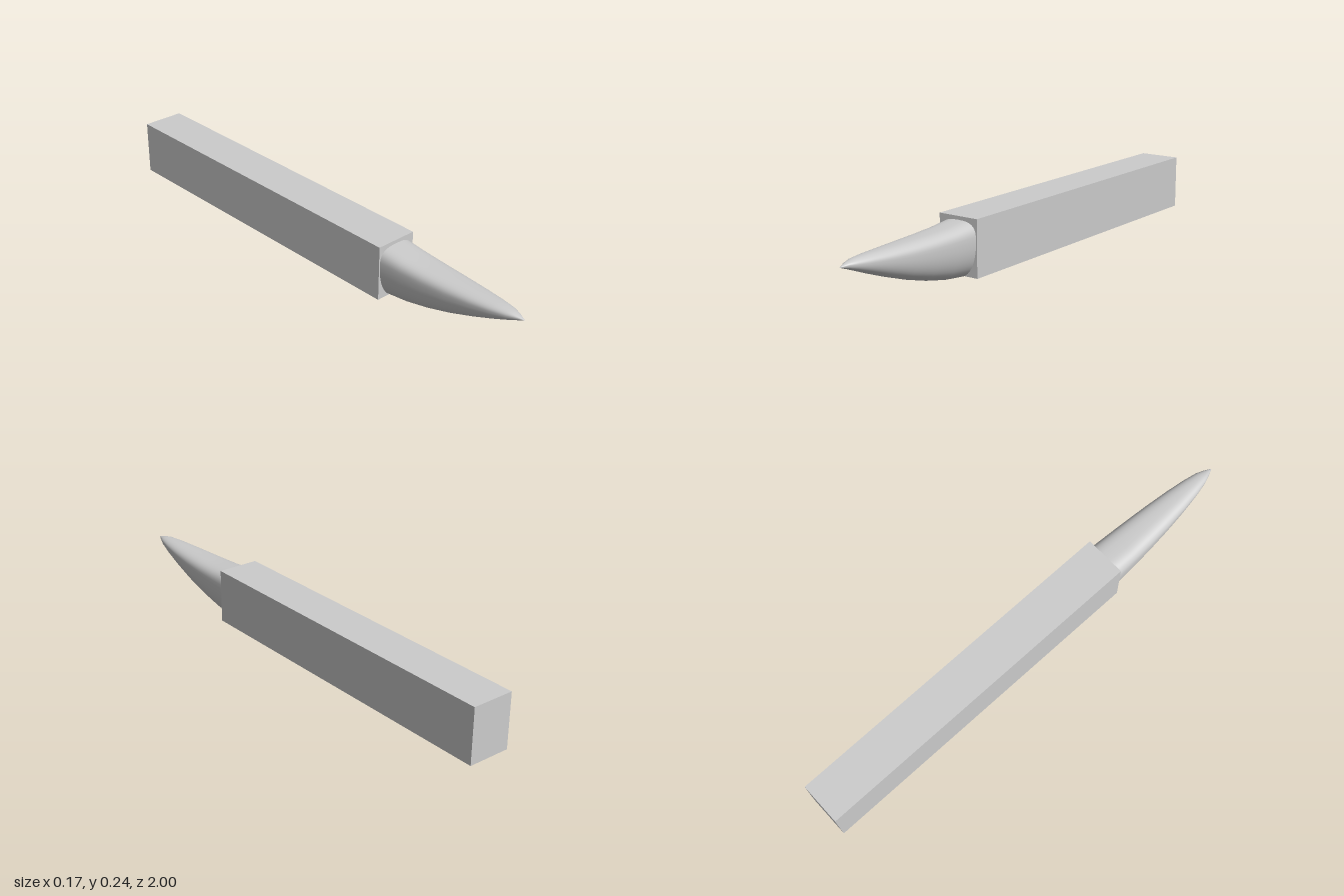
import * as THREE from 'three';

// Cross-sections of the point: z, half width, bottom y, widest y, top y, squareness of the upper half
const SECTIONS = [
  [1.0, 0.001, 0.189, 0.19, 0.191, 2],
  [0.97, 0.015, 0.178, 0.192, 0.201, 2],
  [0.94, 0.027, 0.166, 0.19, 0.207, 2.1],
  [0.88, 0.04, 0.142, 0.185, 0.21, 2.2],
  [0.8, 0.052, 0.112, 0.178, 0.211, 2.4],
  [0.7, 0.063, 0.078, 0.17, 0.213, 2.6],
  [0.6, 0.071, 0.05, 0.165, 0.215, 2.8],
  [0.5, 0.077, 0.029, 0.162, 0.219, 3],
  [0.41, 0.081, 0.019, 0.16, 0.229, 3],
  [0.235, 0.083, 0.003, 0.158, 0.23, 3],
];
const SIDES = 48;

// Rounded outline: half ellipse below, squarer superellipse above
function ring([z, w, bottom, mid, top, n], slant = 0) {
  const points = [];
  for (let i = 0; i < SIDES; i++) {
    const a = (i / SIDES) * Math.PI * 2;
    const c = Math.cos(a), s = Math.sin(a);
    const e = 2 / (s > 0 ? n : 2.1);
    const x = w * Math.sign(c) * Math.abs(c) ** e;
    const y = mid + (s > 0 ? top - mid : mid - bottom) * Math.sign(s) * Math.abs(s) ** e;
    points.push([x, y, z + slant * (y - bottom)]);
  }
  return points;
}

function buildGeometry(positions, index) {
  const geometry = new THREE.BufferGeometry();
  geometry.setAttribute('position', new THREE.Float32BufferAttribute(positions.flat(), 3));
  geometry.setIndex(index);
  geometry.computeVertexNormals();
  return geometry;
}

export function createModel() {
  const group = new THREE.Group();
  const material = new THREE.MeshStandardMaterial({ color: 0xcccccc });
  const add = (name, geometry) => {
    const mesh = new THREE.Mesh(geometry, material);
    mesh.name = name;
    group.add(mesh);
    return mesh;
  };

  // Long square bar
  add('bar', new THREE.BoxGeometry(0.17, 0.218, 1.41)).position.set(0, 0.134, -0.295);

  // Curved point, lofted from tip to the end sunk into the bar
  const last = SECTIONS.length - 1;
  const rings = SECTIONS.map((section, k) => ring(section, k === last ? 0.6 : 0));
  const index = [];
  for (let k = 0; k < last; k++) {
    for (let i = 0; i < SIDES; i++) {
      const j = (i + 1) % SIDES;
      const a = k * SIDES + i, b = k * SIDES + j;
      index.push(a, a + SIDES, b, b, a + SIDES, b + SIDES);
    }
  }
  add('point', buildGeometry(rings.flat(), index));

  // Flat slanted cap at the point's back end
  const cap = [];
  for (let i = 1; i < SIDES - 1; i++) cap.push(0, i + 1, i);
  add('pointBackCap', buildGeometry(rings[last], cap));

  return group;
}
